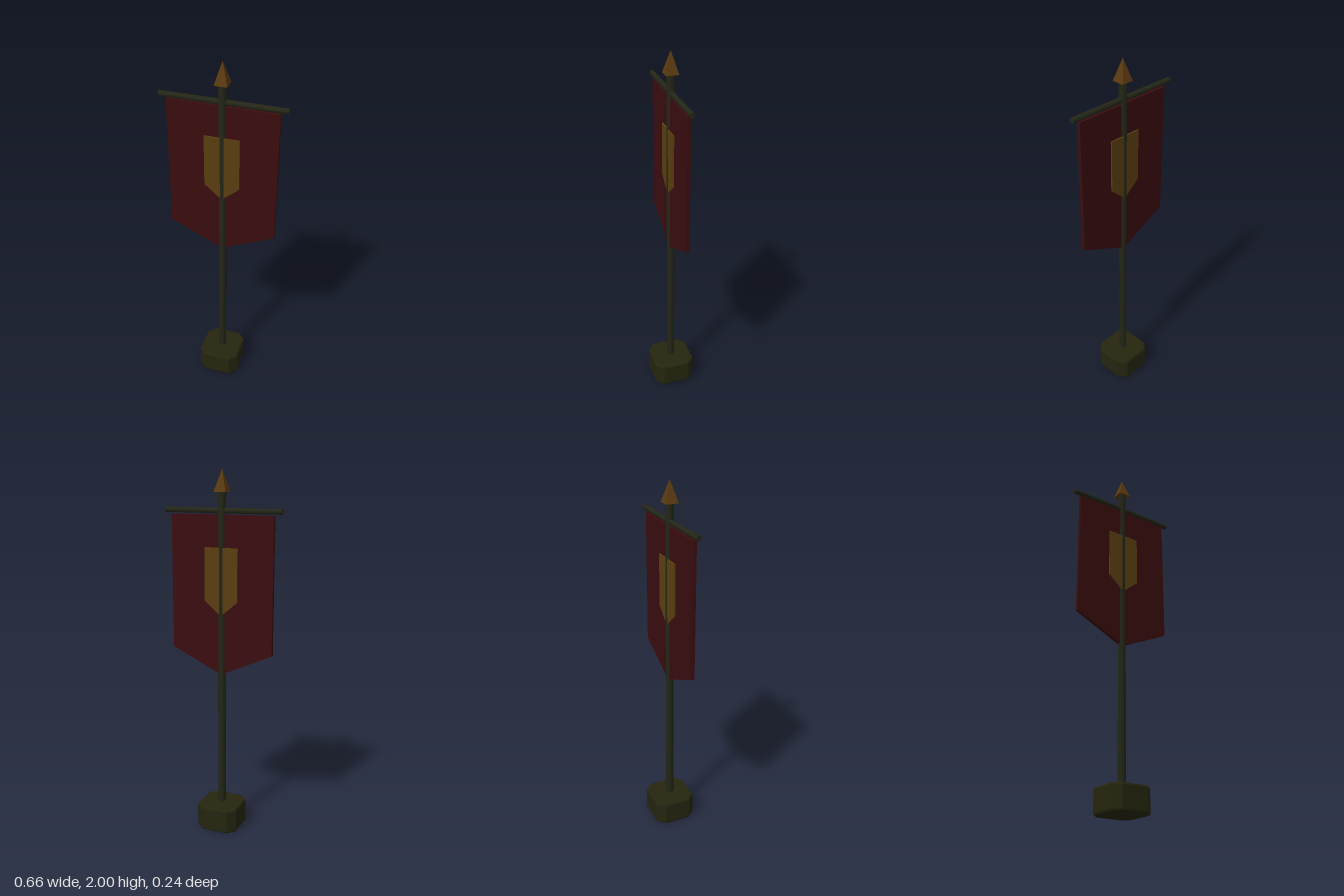
import * as THREE from 'three';

export function createModel() {
  const group = new THREE.Group();
  const mat = (name, color) => {
    const m = new THREE.MeshStandardMaterial({ color });
    m.name = name;
    return m;
  };
  const stone = mat('dark olive base', 0x25250f);
  const wood = mat('dark pole', 0x242617);
  const cloth = mat('deep red cloth', 0x3a0d0f);
  const gold = mat('dull gold', 0x5a3e10);
  const bronze = mat('bronze', 0x5a3a11);

  const add = (name, geometry, material) => {
    const mesh = new THREE.Mesh(geometry, material);
    mesh.name = name;
    group.add(mesh);
    return mesh;
  };

  // Flat plate in the xy plane, centred on z = 0
  const plate = (points, depth) => {
    const shape = new THREE.Shape(points.map(([x, y]) => new THREE.Vector2(x, y)));
    return new THREE.ExtrudeGeometry(shape, { depth, bevelEnabled: false }).translate(0, 0, -depth / 2);
  };
  // Panel with square top and pointed bottom
  const pennant = (w, top, shoulder, tip) => [[-w, top], [-w, shoulder], [0, tip], [w, shoulder], [w, top]];

  // Base block: square with cut corners and bevelled rims
  const bevel = 0.012, h = 0.118 - bevel, c = 0.071;
  const outline = [[h, -c], [h, c], [c, h], [-c, h], [-h, c], [-h, -c], [-c, -h], [c, -h]];
  const baseGeo = new THREE.ExtrudeGeometry(
    new THREE.Shape(outline.map(([x, y]) => new THREE.Vector2(x, y))),
    { depth: 0.14 - 2 * bevel, bevelSize: bevel, bevelThickness: bevel, bevelSegments: 2 }
  );
  baseGeo.rotateX(-Math.PI / 2).translate(0, bevel, 0);
  add('base', baseGeo, stone);

  // Upright pole, eight-sided with a flat side to the front
  const poleGeo = new THREE.CylinderGeometry(0.0215, 0.0215, 1.755, 8).rotateY(Math.PI / 8);
  add('pole', poleGeo.toNonIndexed(), wood).position.y = 0.145 + 1.755 / 2;
  poleGeo.computeVertexNormals();

  // Crossbar
  const barGeo = new THREE.CylinderGeometry(0.0148, 0.0148, 0.658, 8).rotateY(Math.PI / 8).rotateZ(Math.PI / 2);
  add('crossbar', barGeo, wood).position.y = 1.791;

  // Hanging cloth and the emblem on both faces
  add('cloth', plate(pennant(0.29, 1.77, 1.04, 0.905), 0.02), cloth);
  for (const side of [1, -1]) {
    const emblem = add(side > 0 ? 'frontEmblem' : 'backEmblem', plate(pennant(0.094, 1.6, 1.315, 1.235), 0.008), gold);
    emblem.position.z = side * 0.0145;
  }

  // Four-sided spear point
  const tipGeo = new THREE.ConeGeometry(0.034 * Math.SQRT2, 0.115, 4).rotateY(Math.PI / 4).toNonIndexed();
  tipGeo.computeVertexNormals();
  add('spearPoint', tipGeo, bronze).position.y = 2 - 0.115 / 2;

  return group;
}
